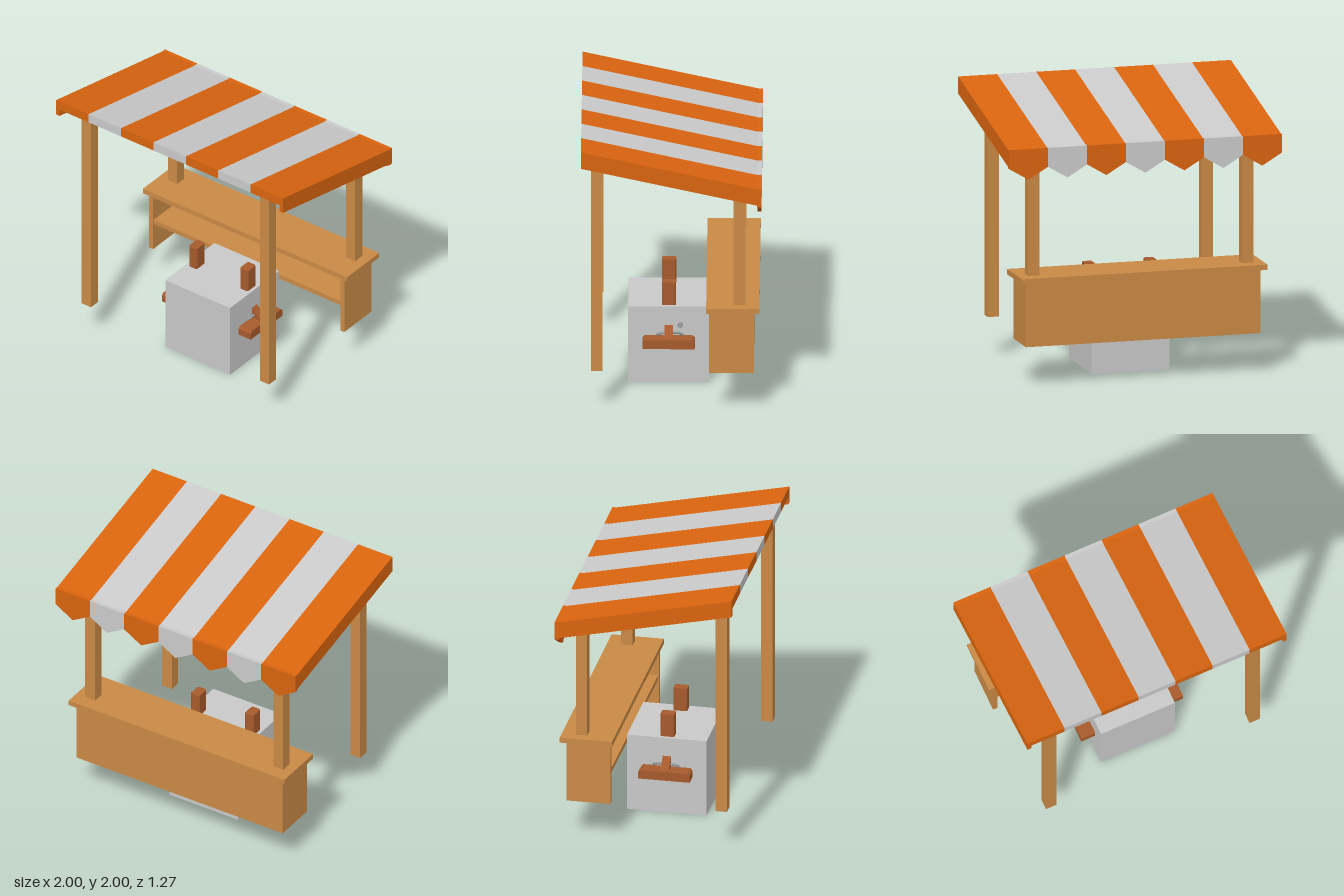
import * as THREE from 'three';

const mat = (name, color, side = THREE.FrontSide) => {
  const m = new THREE.MeshStandardMaterial({ color, side });
  m.name = name;
  return m;
};

export function createModel() {
  const orange = mat('orange canvas', 0xd9640f);
  const pale = mat('pale canvas', 0xcacaca);
  const wood = mat('light wood', 0xc98945);
  const brown = mat('brown wood', 0xa65a2c);
  const stone = mat('stone', 0xc8c8c8);
  const metal = mat('metal', 0x969c9e);

  const root = new THREE.Group();
  root.name = 'marketStall';
  const group = (name) => {
    const g = new THREE.Group();
    g.name = name;
    root.add(g);
    return g;
  };
  const add = (parent, name, geometry, material) => {
    const mesh = new THREE.Mesh(geometry, material);
    mesh.name = name;
    parent.add(mesh);
    return mesh;
  };

  // Box given by its limits on each axis
  const box = (parent, name, material, [x0, x1], [y0, y1], [z0, z1]) => {
    const g = new THREE.BoxGeometry(x1 - x0, y1 - y0, z1 - z0);
    g.translate((x0 + x1) / 2, (y0 + y1) / 2, (z0 + z1) / 2);
    return add(parent, name, g, material);
  };
  const extrude = (points, depth) => new THREE.ExtrudeGeometry(
    new THREE.Shape(points.map(([x, y]) => new THREE.Vector2(x, y))),
    { depth, bevelEnabled: false });
  // Side profile of [z, y] points swept from x0 to x1
  const sweepX = (points, x0, x1) =>
    extrude(points.map(([z, y]) => [-z, y]), x1 - x0).rotateY(Math.PI / 2).translate(x0, 0, 0);

  // Sloping awning with striped roof and pointed valance
  const awning = group('awning');
  const front = 0.635, back = -0.605, highY = 2, lowY = 1.725;
  const slope = (drop) => [[front, highY], [back, lowY], [back, lowY - drop], [front, highY - drop]];
  const count = 7, w = 2 / count, rim = 0.03;
  for (let i = 0; i < count; i++) {
    const x0 = -1 + i * w, x1 = x0 + w;
    const material = i % 2 ? pale : orange;
    const r0 = Math.max(x0, -1 + rim), r1 = Math.min(x1, 1 - rim);
    add(awning, 'roofStripe', sweepX(slope(0.07), r0, r1), material);
    const flap = extrude([[x0, 1.59], [(x0 + x1) / 2, 1.505], [x1, 1.59], [x1, lowY], [x0, lowY]], 0.03);
    add(awning, 'valanceFlap', flap.translate(0, 0, -0.635), material);
  }
  add(awning, 'leftSkirt', sweepX(slope(0.123), 1 - rim, 1), orange);
  add(awning, 'rightSkirt', sweepX(slope(0.123), -1, -1 + rim), orange);

  // Four posts: the front pair reach the ground line, the back pair stand on the counter
  const posts = group('posts');
  for (const s of [-1, 1]) {
    const span = [s * 0.785 - 0.041, s * 0.785 + 0.041];
    box(posts, 'frontPost', wood, span, [0.29, 1.897], [0.485, 0.567]);
    box(posts, 'backPost', wood, span, [0.785, 1.69], [-0.52, -0.438]);
  }

  // Counter, open towards the front with one shelf
  const counter = group('counter');
  box(counter, 'counterTop', wood, [-0.9, 0.9], [0.75, 0.788], [-0.62, -0.245]);
  box(counter, 'backPanel', wood, [-0.825, 0.825], [0.29, 0.75], [-0.58, -0.545]);
  box(counter, 'shelf', wood, [-0.825, 0.825], [0.503, 0.538], [-0.545, -0.27]);
  for (const s of [-1, 1]) {
    box(counter, 'sidePanel', wood, [s * 0.8425 - 0.0175, s * 0.8425 + 0.0175], [0.29, 0.75], [-0.58, -0.265]);
  }

  // Stone block with a wooden frame showing through it
  const block = group('stoneBlock');
  box(block, 'stoneCube', stone, [-0.285, 0.285], [0, 0.572], [-0.265, 0.307]);

  const frame = group('woodenFrame');
  const c = 0.01;
  for (const s of [-1, 1]) {
    // Upright with chamfered corners
    const a = 0.036, b = 0.05;
    const outline = [[-a + c, -b], [a - c, -b], [a, -b + c], [a, b - c],
      [a - c, b], [-a + c, b], [-a, b - c], [-a, -b + c]];
    const upright = extrude(outline, 0.41).rotateX(-Math.PI / 2);
    add(frame, 'upright', upright.translate(s * 0.225, 0.333, 0.02), brown);

    // Foot with a bevelled top
    const foot = sweepX([[0.207, 0.29], [0.207, 0.34], [0.192, 0.355],
      [-0.147, 0.355], [-0.162, 0.34], [-0.162, 0.29]].reverse(), -0.12, 0.12);
    add(frame, 'foot', foot.translate(s * 0.272, 0, 0), brown);

    // Slanted brace between foot and upright
    const brace = [[0.365, 0.35], [0.22, 0.5], [0.22, 0.43], [0.3, 0.35]].map(([x, y]) => [s * x, y]);
    add(frame, 'brace', extrude(brace, 0.06).translate(0, 0, -0.008), brown);

    // Bent metal bar lying over the foot
    const bar = new THREE.CatmullRomCurve3([[0.285, 0.357, 0.11], [0.3, 0.375, 0.085],
      [0.3, 0.378, -0.05], [0.285, 0.357, -0.08]].map(([x, y, z]) => new THREE.Vector3(s * x, y, z)));
    add(frame, 'metalBar', new THREE.TubeGeometry(bar, 12, 0.009, 6), metal);
  }
  // Small crank end on the left side
  const crank = new THREE.CylinderGeometry(0.02, 0.02, 0.05, 8).rotateZ(Math.PI / 2);
  add(frame, 'crankEnd', crank.translate(0.275, 0.435, -0.06), metal);

  return root;
}
